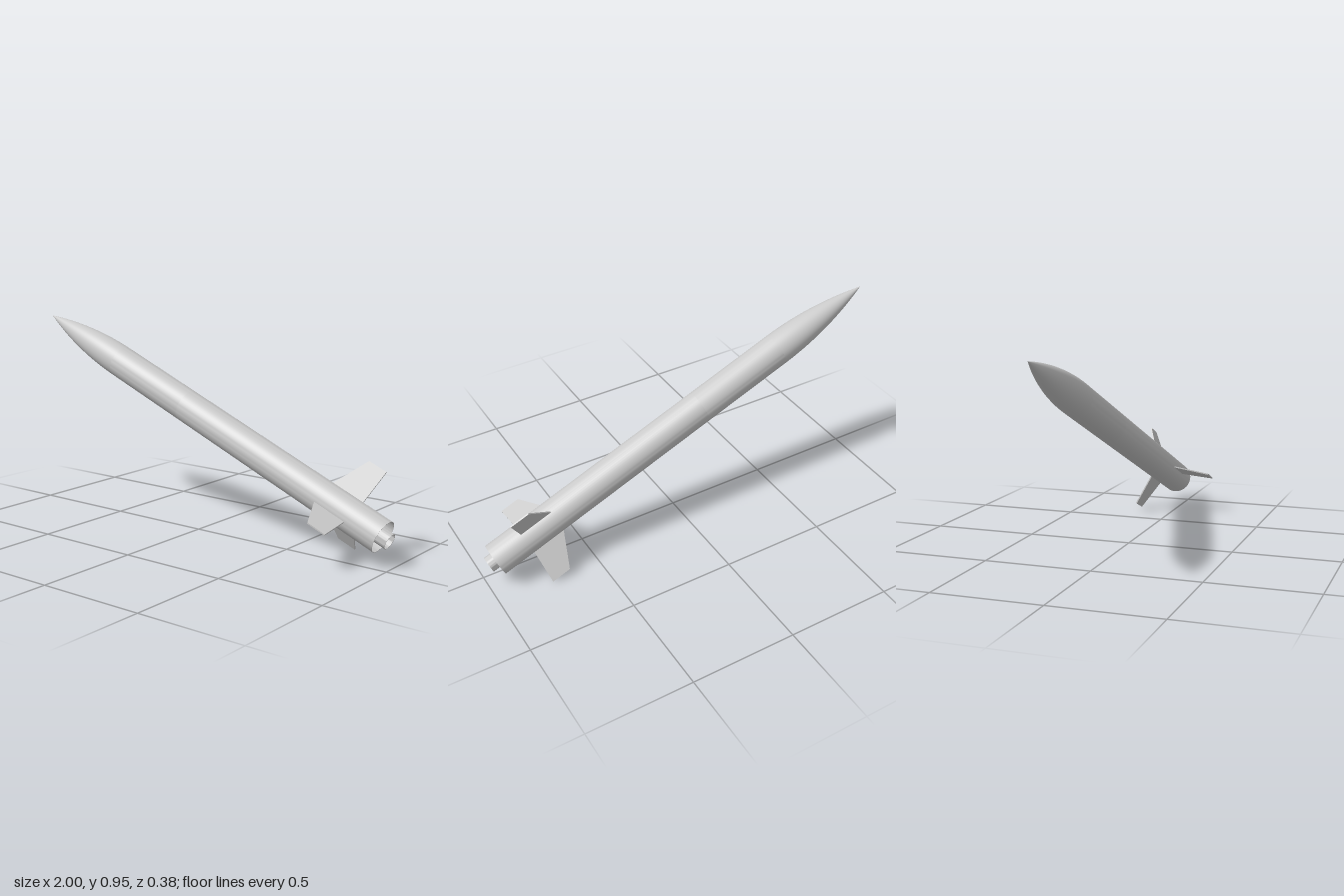
import * as THREE from 'three';
import { toCreasedNormals } from 'three/addons/utils/BufferGeometryUtils.js';

const R = 0.077;            // airframe radius
const NOSE = 0.513;         // nose cone length
const JOINT = 0.963;        // upper / lower tube joint
const TAIL = 2.114;         // rear end of the airframe
const SEG = 48;

const material = new THREE.MeshStandardMaterial({ color: 0xcccccc, side: THREE.DoubleSide });

function add(parent, name, geometry) {
  const mesh = new THREE.Mesh(geometry, material);
  mesh.name = name;
  parent.add(mesh);
  return mesh;
}

// Hollow tube; "from" and "to" are distances behind the nose tip
function tube(rIn, rOut, from, to) {
  const profile = [[rIn, -to], [rOut, -to], [rOut, -from], [rIn, -from], [rIn, -to]]
    .map(([r, y]) => new THREE.Vector2(r, y));
  return toCreasedNormals(new THREE.LatheGeometry(profile, SEG), 0.6);
}

// Tangent ogive, base to tip
function ogive() {
  const rho = (R * R + NOSE * NOSE) / (2 * R);
  const profile = [];
  for (let i = 0; i <= 24; i++) {
    const t = NOSE * (1 - i / 24);
    const r = Math.sqrt(rho * rho - (NOSE - t) ** 2) + R - rho;
    profile.push(new THREE.Vector2(Math.max(r, 0), -t));
  }
  return new THREE.LatheGeometry(profile, SEG);
}

// Swept trapezoid fin, x radial and y along the body
function finGeometry() {
  const thickness = 0.006;
  const shape = new THREE.Shape([
    [R - 0.004, -1.792], [R - 0.004, -1.957], [0.24, -1.97], [0.24, -1.877],
  ].map(([x, y]) => new THREE.Vector2(x, y)));
  const geometry = new THREE.ExtrudeGeometry(shape, { depth: thickness, bevelEnabled: false });
  return geometry.translate(0, 0, -thickness / 2);
}

export function createModel() {
  const model = new THREE.Group();
  model.name = 'rocket';

  // Everything is built along local y with the nose tip at the origin
  const rocket = new THREE.Group();
  rocket.name = 'tiltedRocket';
  model.add(rocket);

  add(rocket, 'noseCone', ogive());
  add(rocket, 'upperTube', tube(R - 0.002, R, NOSE, JOINT));
  add(rocket, 'lowerTube', tube(R - 0.002, R, JOINT, TAIL));

  // Motor mount inside the open tail
  add(rocket, 'motorTube', tube(0.035, 0.0375, 1.65, 2.15));
  add(rocket, 'motorPlug', new THREE.CylinderGeometry(0.035, 0.035, 0.02, SEG).translate(0, -1.67, 0));
  for (const s of [1.72, 2.04]) {
    add(rocket, 'centeringRing', tube(0.0375, R - 0.002, s, s + 0.01));
  }

  // Three evenly spaced fins
  const fin = finGeometry();
  for (let i = 0; i < 3; i++) {
    add(rocket, 'fin', fin).rotation.y = THREE.MathUtils.degToRad(-94 + 120 * i);
  }

  // Nose raised toward -x
  rocket.rotation.z = THREE.MathUtils.degToRad(67.3);
  rocket.position.set(-1, 0.95, -0.052);
  return model;
}
